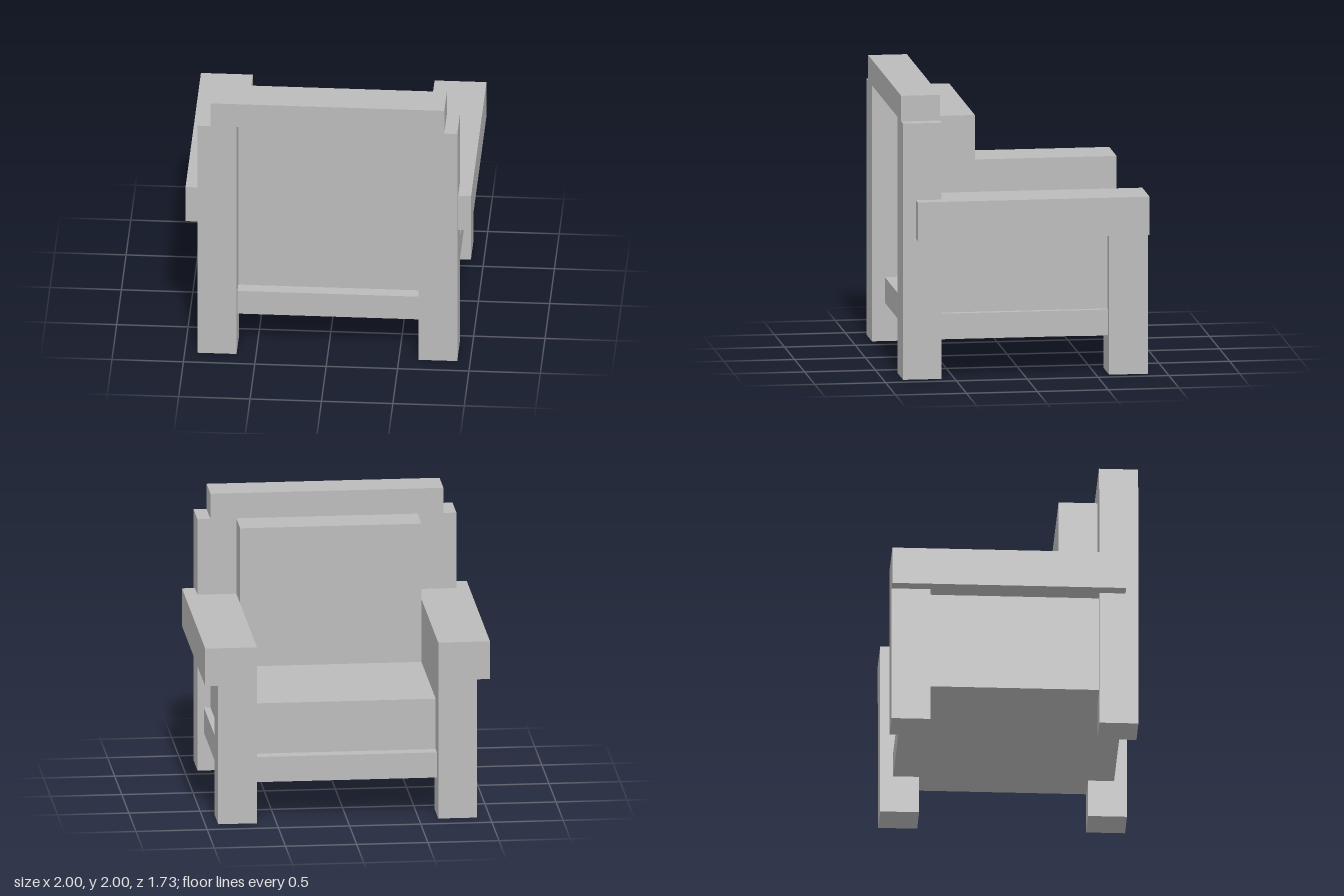
import * as THREE from 'three';

const U = 1 / 11; // design module: the chair is 22 modules tall and wide

export function createModel() {
  const chair = new THREE.Group();
  chair.name = 'armchair';
  const grey = new THREE.MeshStandardMaterial({ color: 0xbbbbbb });
  grey.name = 'grey';

  // Box between two limits on each axis, in modules
  const block = (name, [x0, x1], [y0, y1], [z0, z1]) => {
    const geo = new THREE.BoxGeometry((x1 - x0) * U, (y1 - y0) * U, (z1 - z0) * U);
    const mesh = new THREE.Mesh(geo, grey);
    mesh.name = name;
    mesh.position.set((x0 + x1) * U / 2, (y0 + y1) * U / 2, (z0 + z1) * U / 2);
    chair.add(mesh);
  };
  // The same box on both sides of the chair
  const pair = (name, [x0, x1], y, z) => {
    block('left' + name, [x0, x1], y, z);
    block('right' + name, [-x1, -x0], y, z);
  };

  // Legs: the pair at +z rises to carry the backrest
  pair('SeatLeg', [7, 10], [0, 11], [-9.5, -6.5]);
  pair('BackPost', [7, 10], [0, 20], [6.5, 9.5]);

  // Armrests with the panels below them
  pair('Armrest', [7, 11], [11, 14], [-9.5, 8.5]);
  pair('SidePanel', [7, 9], [5, 11], [-6.5, 6.5]);

  // Base slab, notched around the legs
  block('base', [-7, 7], [3, 5], [-8.5, 8.5]);
  pair('BaseRail', [7, 9.5], [3, 5], [-6.5, 6.5]);

  // Seat, backrest and top rail
  block('seatCushion', [-7, 7], [5, 9], [-7.5, 3.5]);
  block('backCushion', [-7, 7], [5, 20], [3.5, 7.5]);
  block('topRail', [-9, 9], [20, 22], [6.5, 9.5]);

  return chair;
}
